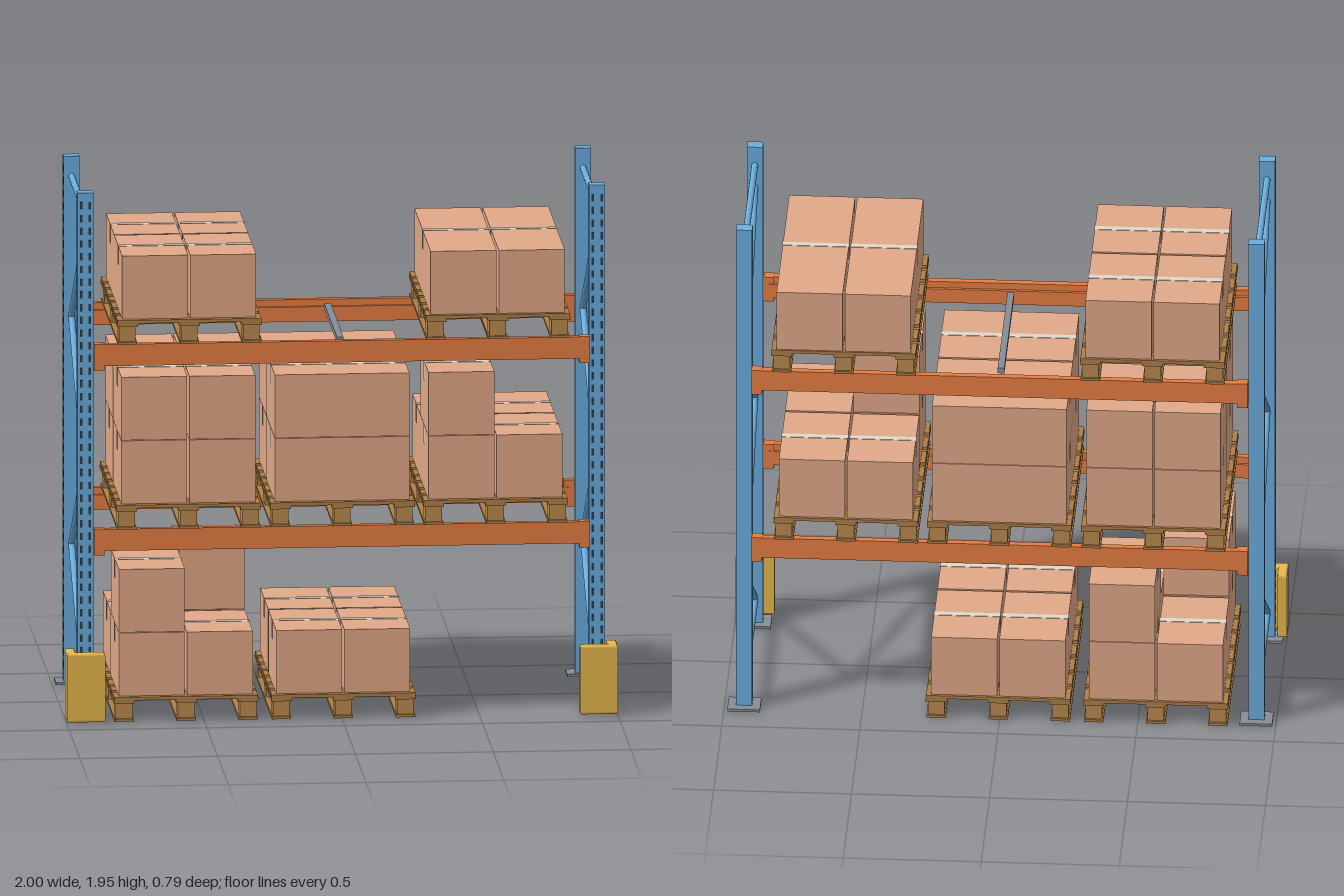
import * as THREE from 'three';
import { mergeGeometries } from 'three/addons/utils/BufferGeometryUtils.js';

const mat = (name, color) => Object.assign(new THREE.MeshStandardMaterial({ color }), { name });
const M = {
  blue: mat('frame blue', 0x6aaee0),
  orange: mat('beam orange', 0xe87e42),
  yellow: mat('guard yellow', 0xeabb4e),
  card: mat('cardboard', 0xe2a888),
  tape: mat('packing tape', 0xe0d8ca),
  board: mat('pallet board', 0xae7f48),
  block: mat('pallet block', 0xbc8a50),
  steel: mat('grey steel', 0x868d98),
  slot: mat('slot dark', 0x303a45),
};

const boxGeo = (w, h, d, x, y, z) => new THREE.BoxGeometry(w, h, d).translate(x, y, z);

function add(parent, name, geo, material) {
  const mesh = new THREE.Mesh(Array.isArray(geo) ? mergeGeometries(geo) : geo, material);
  mesh.name = name;
  parent.add(mesh);
  return mesh;
}

// L-shaped post guard: a front plate and one wing on the outer side
function guardGeo(side) {
  const bevel = 0.008, t = 0.035, a = 0.0695, b = 0.051;
  let pts = [[-a, -b], [a, -b], [a, b], [a - t, b], [a - t, -b + t], [-a, -b + t]];
  if (side < 0) pts = pts.map(([x, y]) => [-x, y]).reverse();
  const shape = new THREE.Shape(pts.map(([x, y]) => new THREE.Vector2(x, y)));
  return new THREE.ExtrudeGeometry(shape, {
    depth: 0.255 - 2 * bevel, bevelSize: bevel, bevelThickness: bevel,
    bevelOffset: -bevel, bevelSegments: 3,
  }).translate(0, 0, bevel).rotateX(-Math.PI / 2);
}

// Round bar between two points in the side plane
function brace(y1, z1, y2, z2) {
  const dy = y2 - y1, dz = z2 - z1;
  return new THREE.CylinderGeometry(0.012, 0.012, Math.hypot(dy, dz), 12)
    .rotateX(Math.atan2(dz, dy)).translate(0, (y1 + y2) / 2, (z1 + z2) / 2);
}

const FRONT = 0.317, BACK = -0.331, POST_X = 0.928;

// One end frame: two posts, slots, base plates, braces and a front guard
function endFrame(side) {
  const g = new THREE.Group();
  g.name = side > 0 ? 'leftFrame' : 'rightFrame';
  g.position.x = side * POST_X;
  const slots = [];
  for (const z of [FRONT, BACK]) {
    add(g, 'post', boxGeo(0.058, 1.945, 0.044, 0, 0.9775, z), M.blue);
    add(g, 'basePlate', boxGeo(0.118, 0.01, 0.096, 0, 0.005, z - 0.006), M.steel);
    for (let y = 0.07; y < 1.93; y += 0.047) {
      slots.push(boxGeo(0.002, 0.027, 0.011, side * 0.0292, y, z));
      if (z === FRONT)
        for (const s of [-1, 1]) slots.push(boxGeo(0.009, 0.027, 0.002, s * 0.016, y, z + 0.0222));
    }
  }
  add(g, 'postSlots', slots, M.slot);
  const zig = [[1.79, 0.3], [1.36, -0.315], [0.935, 0.3], [0.52, -0.315], [0.11, 0.3]];
  const bars = [brace(1.876, 0.3, 1.876, -0.315), brace(0.098, 0.3, 0.098, -0.315)];
  for (let i = 0; i < 4; i++) bars.push(brace(...zig[i], ...zig[i + 1]));
  add(g, 'braces', bars, M.blue);
  add(g, 'postGuard', guardGeo(side), M.yellow).position.set(side * 0.0025, 0.005, 0.349);
  return g;
}

// Pair of beams with end connectors and cross bars; top is the load height
function shelf(top) {
  const g = new THREE.Group();
  g.name = 'shelf';
  for (const [z, out] of [[0.356, 1], [-0.371, -1]]) {
    add(g, 'beam', [
      boxGeo(1.76, 0.08, 0.026, 0, top - 0.04, z + out * 0.003),
      boxGeo(1.76, 0.055, 0.014, 0, top - 0.0525, z - out * 0.014),
    ], M.orange);
    for (const s of [-1, 1])
      add(g, 'beamConnector', boxGeo(0.038, 0.098, 0.037, s * 0.88, top - 0.047, z), M.orange);
  }
  for (const x of [-0.55, 0, 0.55])
    add(g, 'crossBar', boxGeo(0.024, 0.022, 0.59, x, top - 0.015, -0.01), M.steel);
  return g;
}

// Nine-block pallet, 0.09 high
function pallet(x, y) {
  const g = new THREE.Group();
  g.name = 'pallet';
  g.position.set(x, y, -0.006);
  const boards = [], blocks = [];
  for (let i = 0; i < 7; i++)
    boards.push(boxGeo(0.522, 0.012, i % 2 ? 0.075 : 0.087, 0, 0.084, (i - 3) * 0.115));
  for (const px of [-0.225, 0, 0.225]) {
    boards.push(boxGeo(0.075, 0.012, 0.777, px, 0.072, 0));
    boards.push(boxGeo(0.07, 0.01, 0.777, px, 0.005, 0));
    for (const pz of [-0.338, 0, 0.338])
      blocks.push(boxGeo(0.06, 0.056, 0.085, px, 0.038, pz));
  }
  add(g, 'palletBoards', boards, M.board);
  add(g, 'palletBlocks', blocks, M.block);
  return g;
}

// Carton with tape over the top and a short way down both ends
function carton(x, y, z, w, h, d) {
  const g = new THREE.Group();
  g.name = 'carton';
  g.position.set(x, y, z);
  add(g, 'cartonBody', boxGeo(w, h, d, 0, h / 2, 0), M.card);
  const strips = [boxGeo(w + 0.003, 0.002, 0.026, 0, h + 0.0005, 0)];
  for (const s of [-1, 1]) strips.push(boxGeo(0.002, 0.068, 0.026, s * (w / 2 + 0.0005), h - 0.034, 0));
  add(g, 'cartonTape', strips, M.tape);
  return g;
}

// Loaded pallet: cells lists [column, row, layers]; column or row 0 spans the pallet
function load(x, y, cells) {
  const g = new THREE.Group();
  g.name = 'palletLoad';
  g.add(pallet(x, y));
  for (const [col, row, layers] of cells)
    for (let i = 0; i < layers; i++)
      g.add(carton(x + col * 0.1235, y + 0.091 + i * 0.235, -0.011 + row * 0.19,
        col ? 0.239 : 0.488, 0.233, row ? 0.37 : 0.758));
  return g;
}

const four = (rf, lf, rb, lb) => [[-1, 1, rf], [1, 1, lf], [-1, -1, rb], [1, -1, lb]];

export function createModel() {
  const root = new THREE.Group();
  root.name = 'palletRack';
  root.add(endFrame(1), endFrame(-1), shelf(0.713), shelf(1.396));
  // Ground level
  root.add(load(-0.566, 0.003, four(2, 1, 1, 2)));
  root.add(load(0.005, 0.003, four(1, 1, 1, 1)));
  // Middle level
  root.add(load(-0.557, 0.713, four(2, 2, 2, 2)));
  root.add(load(0.001, 0.713, [[0, 1, 2], [0, -1, 2]]));
  root.add(load(0.557, 0.713, four(2, 1, 1, 1)));
  // Top level
  root.add(load(-0.554, 1.396, four(1, 1, 1, 1)));
  root.add(load(0.565, 1.396, [[-1, 0, 1], [1, 0, 1]]));
  return root;
}
